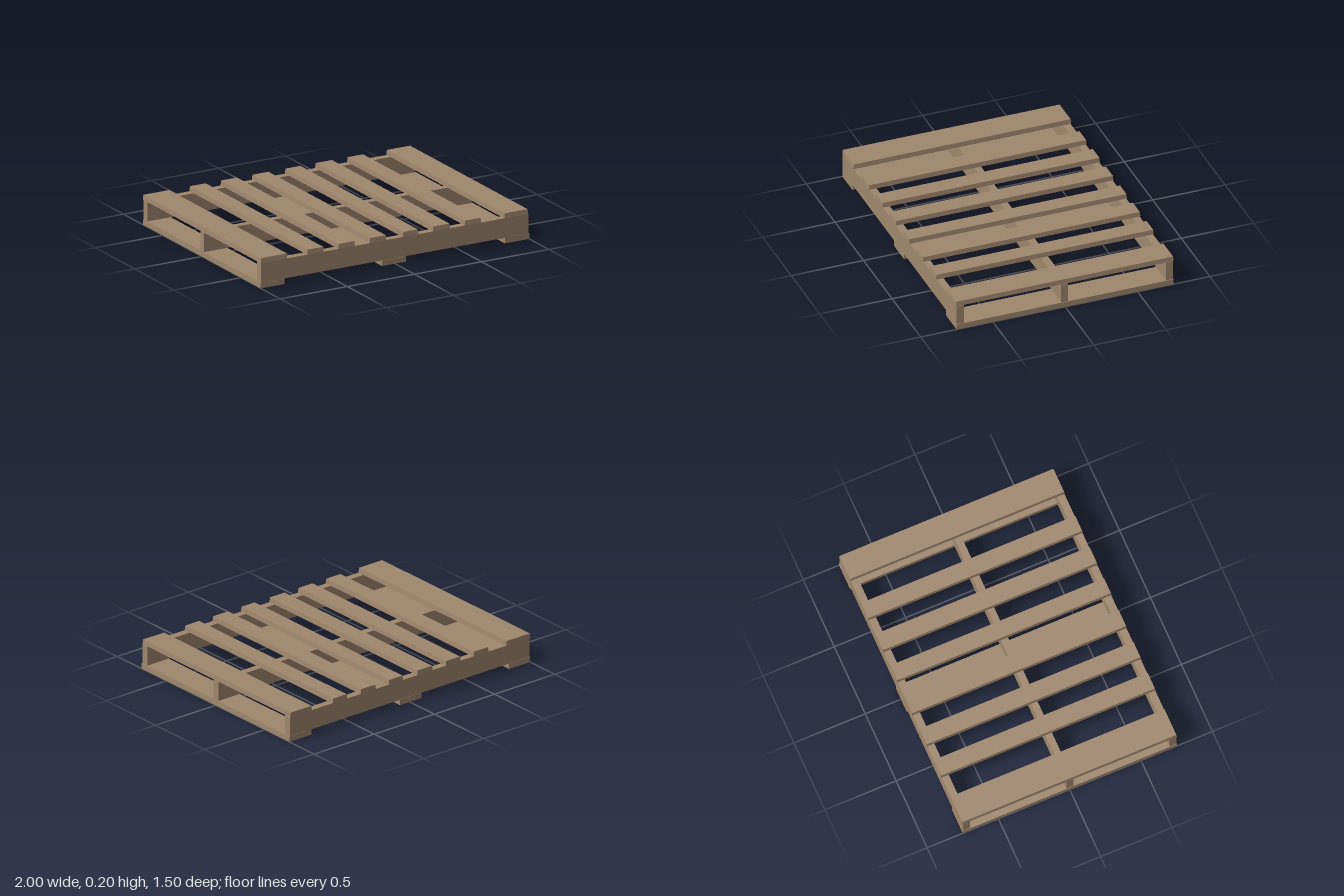
import * as THREE from 'three';

export function createModel() {
  const pallet = new THREE.Group();
  pallet.name = 'pallet';
  const wood = new THREE.MeshStandardMaterial({ color: 0xa0876d });
  wood.name = 'weathered wood';

  // Plank between two corners; "wear" pulls in the upper corners slightly
  function plank(name, [x0, x1], [y0, y1], [z0, z1], wear = 0) {
    const geo = new THREE.BoxGeometry(x1 - x0, y1 - y0, z1 - z0);
    const p = geo.attributes.position;
    for (let i = 0; i < p.count; i++) {
      if (p.getY(i) > 0) {
        p.setX(i, p.getX(i) - Math.sign(p.getX(i)) * wear);
        p.setZ(i, p.getZ(i) - Math.sign(p.getZ(i)) * wear);
      }
    }
    geo.computeVertexNormals();
    const mesh = new THREE.Mesh(geo, wood);
    mesh.name = name;
    mesh.position.set((x0 + x1) / 2, (y0 + y1) / 2, (z0 + z1) / 2);
    pallet.add(mesh);
  }

  // Three long stringers: back, middle, front
  [[-0.748, -0.698], [-0.022, 0.026], [0.7, 0.75]].forEach((z, i) =>
    plank(['back', 'middle', 'front'][i] + 'Stringer', [-0.997, 0.995], [0.037, 0.17], z));

  // Deck boards: wide ones at both ends, narrow slats between
  const deck = [
    [-1, -0.802], [-0.653, -0.53], [-0.42, -0.298], [-0.188, -0.063],
    [0.058, 0.175], [0.283, 0.41], [0.522, 0.642], [0.814, 0.992],
  ];
  deck.forEach((x, i) => plank('deckBoard' + (i + 1), x, [0.17, 0.203], [-0.753, 0.752], 0.003));

  // Three bottom boards
  [[-1, -0.824], [-0.097, 0.082], [0.818, 1]].forEach((x, i) =>
    plank('bottomBoard' + (i + 1), x, [0, 0.037], [-0.75, 0.752]));

  return pallet;
}
